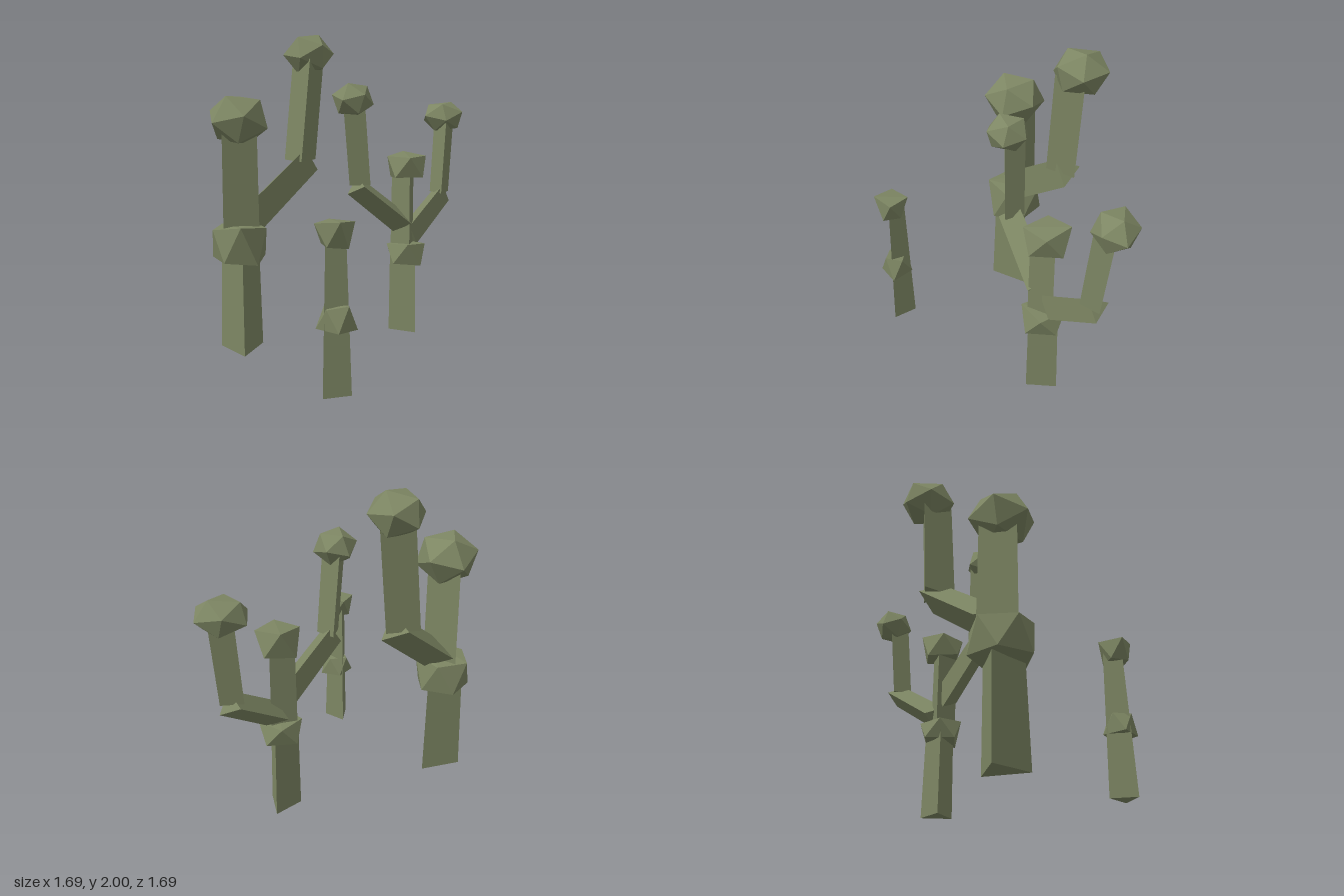
import * as THREE from 'three';
import { ConvexGeometry } from 'three/addons/geometries/ConvexGeometry.js';

const rad = THREE.MathUtils.degToRad;
const UP = new THREE.Vector3(0, 1, 0);

// Corners of a regular polygon; spin is the compass angle of the first corner (0 = front)
function ring(n, r, spin, y = 0) {
  return Array.from({ length: n }, (_, i) => {
    const a = rad(spin + (i * 360) / n);
    return new THREE.Vector3(r * Math.sin(a), y, r * Math.cos(a));
  });
}

export function createModel() {
  const cactusGreen = new THREE.MeshStandardMaterial({ color: 0x7d8663 });
  cactusGreen.name = 'cactusGreen';
  const model = new THREE.Group();
  model.name = 'cactusCluster';

  function add(parent, name, geometry) {
    const mesh = new THREE.Mesh(geometry, cactusGreen);
    mesh.name = name;
    parent.add(mesh);
    return mesh;
  }

  // Three-sided stem from a to b; upright stems keep level ends, arms are cut square
  function stem(parent, name, a, b, ra, rb, spin, level = true) {
    const start = new THREE.Vector3(...a), end = new THREE.Vector3(...b);
    const turn = new THREE.Quaternion();
    if (!level) turn.setFromUnitVectors(UP, end.clone().sub(start).normalize());
    const place = (r, at) => ring(3, r, spin).map((p) => p.applyQuaternion(turn).add(at));
    add(parent, name, new ConvexGeometry([...place(ra, start), ...place(rb, end)]));
  }

  // Fit a geometry into the box between two corners
  function fit(geometry, lo, hi) {
    geometry.computeBoundingBox();
    const box = geometry.boundingBox;
    const size = box.getSize(new THREE.Vector3()), mid = box.getCenter(new THREE.Vector3());
    geometry.translate(-mid.x, -mid.y, -mid.z);
    geometry.scale(...lo.map((v, i) => (hi[i] - v) / size.getComponent(i)));
    geometry.translate(...lo.map((v, i) => (hi[i] + v) / 2));
    return geometry;
  }

  // Round faceted lump
  function lump(parent, name, lo, hi, tilt) {
    const geometry = new THREE.IcosahedronGeometry(1, 0);
    geometry.rotateX(rad(tilt[0])).rotateY(rad(tilt[1])).rotateZ(rad(tilt[2]));
    add(parent, name, fit(geometry, lo, hi));
  }

  // Drum-like lump: a twisted pair of polygons, optionally wider at one end
  function drum(parent, name, lo, hi, sides, spin, top, bottom) {
    const points = [...ring(sides, top, spin, 1), ...ring(sides, bottom, spin + 180 / sides, 0)];
    points[0].y += 0.15;
    points[sides].y -= 0.12;
    add(parent, name, fit(new ConvexGeometry(points), lo, hi));
  }

  function plant(name) {
    const group = new THREE.Group();
    group.name = name;
    model.add(group);
    return group;
  }

  // Large cactus with one arm
  const large = plant('largeCactus');
  stem(large, 'lowerTrunk', [-0.664, 0, 0.017], [-0.665, 0.72, 0.01], 0.155, 0.135, 10);
  stem(large, 'upperTrunk', [-0.675, 0.66, 0.005], [-0.675, 1.48, 0.01], 0.132, 0.125, 80);
  drum(large, 'trunkKnob', [-0.845, 0.575, -0.165], [-0.5, 0.82, 0.2], 5, 10, 1, 1);
  lump(large, 'trunkCap', [-0.845, 1.32, -0.17], [-0.48, 1.61, 0.215], [20, 15, -8]);
  stem(large, 'arm', [-0.62, 0.84, -0.05], [-0.26, 1.18, -0.38], 0.115, 0.105, 223, false);
  stem(large, 'armUpright', [-0.3, 1.17, -0.365], [-0.24, 1.84, -0.4], 0.12, 0.118, 5);
  lump(large, 'armCap', [-0.41, 1.74, -0.6], [-0.075, 2, -0.265], [15, 40, 10]);

  // Middle cactus with two arms
  const middle = plant('middleCactus');
  stem(middle, 'lowerTrunk', [0.41, 0, -0.345], [0.405, 0.56, -0.34], 0.112, 0.102, 35);
  stem(middle, 'upperTrunk', [0.4, 0.52, -0.335], [0.4, 1.14, -0.335], 0.095, 0.088, 15);
  drum(middle, 'trunkKnob', [0.28, 0.47, -0.47], [0.54, 0.62, -0.205], 4, 0, 1, 1);
  drum(middle, 'trunkCap', [0.28, 1.05, -0.48], [0.54, 1.22, -0.205], 4, 185, 1, 1);
  stem(middle, 'rightArm', [0.385, 0.755, -0.315], [0.065, 1.04, -0.075], 0.09, 0.08, 37, false);
  stem(middle, 'rightArmUpright', [0.08, 1.045, -0.085], [0.04, 1.57, -0.075], 0.078, 0.08, 70);
  lump(middle, 'rightArmCap', [-0.09, 1.48, -0.17], [0.17, 1.685, 0.07], [10, 30, -10]);
  stem(middle, 'leftArm', [0.43, 0.66, -0.38], [0.695, 0.905, -0.665], 0.09, 0.082, 227, false);
  stem(middle, 'leftArmUpright', [0.68, 0.91, -0.64], [0.715, 1.45, -0.69], 0.076, 0.078, 0);
  lump(middle, 'leftArmCap', [0.57, 1.345, -0.845], [0.84, 1.545, -0.59], [25, 60, 12]);

  // Small armless cactus
  const small = plant('smallCactus');
  stem(small, 'trunk', [-0.08, 0, 0.735], [-0.083, 0.9, 0.725], 0.095, 0.066, 75);
  drum(small, 'trunkKnob', [-0.185, 0.365, 0.635], [0.045, 0.515, 0.845], 4, 50, 0.75, 1);
  drum(small, 'trunkCap', [-0.19, 0.825, 0.635], [0.03, 0.98, 0.845], 4, 15, 1, 0.75);

  return model;
}
